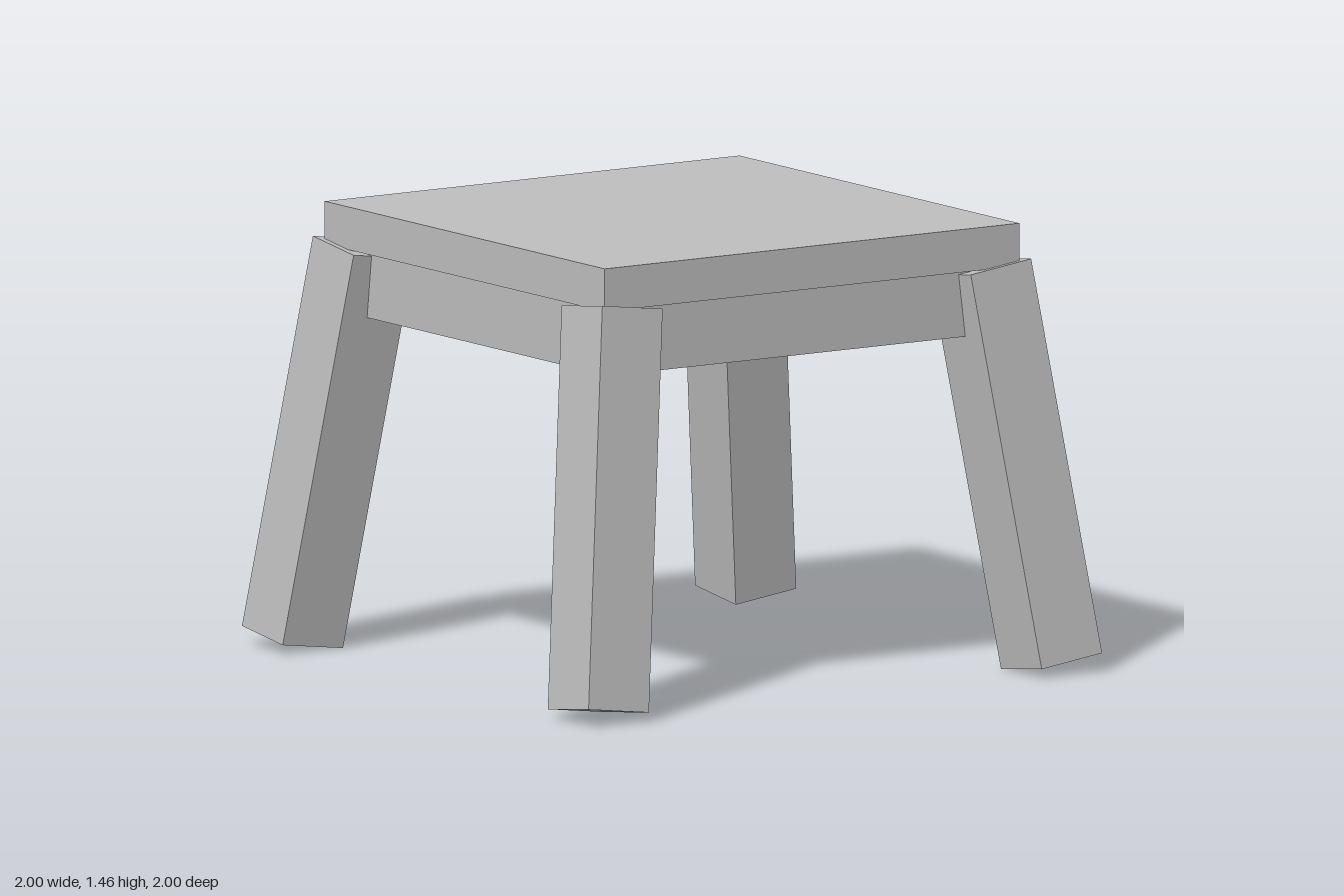
import * as THREE from 'three';

export function createModel() {
  const group = new THREE.Group();
  group.name = 'stool';
  const grey = new THREE.MeshStandardMaterial({ color: 0xc0c0c0 });
  grey.name = 'grey';

  const add = (name, geometry, x, y, z) => {
    const mesh = new THREE.Mesh(geometry, grey);
    mesh.name = name;
    mesh.position.set(x, y, z);
    group.add(mesh);
    return mesh;
  };

  // Square seat slab
  add('seat', new THREE.BoxGeometry(1.615, 0.14, 1.615), 0, 1.39, 0);

  // Apron rails, running into the legs
  for (const s of [-1, 1]) {
    add(s > 0 ? 'frontApron' : 'backApron', new THREE.BoxGeometry(1.42, 0.22, 0.06), 0, 1.21, s * 0.735);
    add(s > 0 ? 'leftApron' : 'rightApron', new THREE.BoxGeometry(0.06, 0.22, 1.42), s * 0.735, 1.21, 0);
  }

  // Square leg leaning inward on both axes, its ends square to the lean
  const legGeometry = (sx, sz) => {
    const width = 0.235, height = 1.283, lean = 0.165, rise = 0.031;
    const geometry = new THREE.BoxGeometry(width, height, width);
    const p = geometry.attributes.position;
    for (let i = 0; i < p.count; i++) {
      const x = p.getX(i), y = p.getY(i), z = p.getZ(i);
      const shift = -lean * (y / height);
      p.setXYZ(i, x + sx * shift, y + (rise / width) * (sx * x + sz * z), z + sz * shift);
    }
    geometry.computeVertexNormals();
    return geometry;
  };
  for (const sx of [-1, 1]) {
    for (const sz of [-1, 1]) {
      const name = (sz > 0 ? 'front' : 'back') + (sx > 0 ? 'Left' : 'Right') + 'Leg';
      add(name, legGeometry(sx, sz), sx * 0.8, 0.6725, sz * 0.8);
    }
  }
  return group;
}
